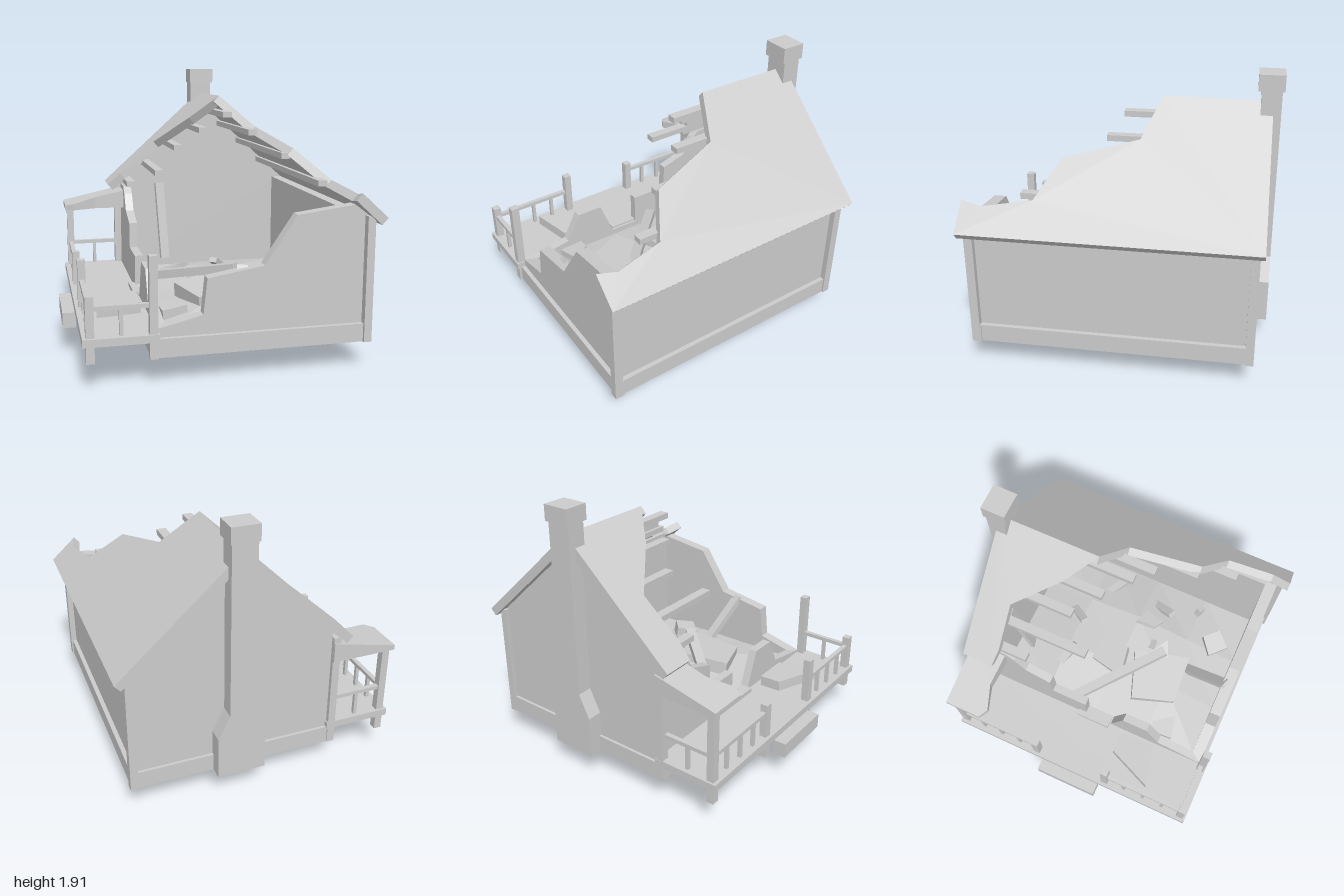
import * as THREE from 'three';

const material = new THREE.MeshStandardMaterial({ color: 0xcccccc, flatShading: true, side: THREE.DoubleSide });

export function createModel() {
  const house = new THREE.Group();
  house.name = 'ruinedHouse';

  const add = (name, geometry) => {
    const mesh = new THREE.Mesh(geometry, material);
    mesh.name = name;
    house.add(mesh);
    return mesh;
  };
  // box given by its limits on each axis
  const box = (name, x0, x1, y0, y1, z0, z1) =>
    add(name, new THREE.BoxGeometry(x1 - x0, y1 - y0, z1 - z0)
      .translate((x0 + x1) / 2, (y0 + y1) / 2, (z0 + z1) / 2));
  const extrude = (points, depth) => new THREE.ExtrudeGeometry(
    new THREE.Shape(points.map(([a, b]) => new THREE.Vector2(a, b))), { depth, bevelEnabled: false });
  // horizontal plate from an outline in x and z
  const plate = (points, y0, h) =>
    extrude(points.map(([x, z]) => [x, -z]), h).rotateX(-Math.PI / 2).translate(0, y0, 0);
  // straight timber between two points
  const beam = (name, from, to, w, h) => {
    const a = new THREE.Vector3(...from), b = new THREE.Vector3(...to);
    const mesh = add(name, new THREE.BoxGeometry(w, h, a.distanceTo(b)));
    mesh.position.copy(a).lerp(b, 0.5);
    mesh.lookAt(b);
  };
  const warp = (geometry, rule) => {
    const p = geometry.attributes.position;
    for (let i = 0; i < p.count; i++) p.setXYZ(i, ...rule(p.getX(i), p.getY(i), p.getZ(i)));
    geometry.computeVertexNormals();
    return geometry;
  };

  // walls, standing behind the sills
  const ridgeX = 0.205, ridgeY = 1.72, pitch = 0.905, base = 0.185, wallBase = 0.29;
  add('backWall', extrude([[-0.46, wallBase], [0.89, wallBase], [0.89, 1.02], [ridgeX, 1.65], [-0.46, 1.04]], 0.08)
    .translate(0, 0, -0.87));
  add('brokenFrontWall', extrude([[-0.46, wallBase], [0.89, wallBase], [0.89, 1.02], [0.81, 1.08], [0.43, 1.03],
    [0.22, 0.72], [-0.145, 0.66], [-0.17, 0.43], [-0.46, 0.36]], 0.08).translate(0, 0, 0.83));
  box('rightWall', 0.81, 0.89, wallBase, 1.02, -0.87, 0.91);
  add('brokenLeftWall', extrude([[-0.87, wallBase], [0.91, wallBase], [0.91, 0.36], [0.56, 0.42], [0.46, 0.62],
    [0.27, 0.62], [0.17, 0.36], [-0.04, 0.36], [-0.04, 0.585], [-0.31, 0.585], [-0.32, 0.77], [-0.51, 0.83],
    [-0.59, 0.95], [-0.65, 1.0], [-0.87, 1.0]], 0.06).rotateY(-Math.PI / 2).translate(-0.4, 0, 0));
  box('threshold', -0.5, -0.415, 0.33, 0.375, -0.1, 0.16);

  // sills and corner posts
  box('frontSill', -0.51, 0.93, base, 0.305, 0.895, 0.94);
  box('backSill', -0.51, 0.93, base, 0.305, -0.89, -0.855);
  box('rightSill', 0.88, 0.92, base, 0.305, -0.88, 0.94);
  box('leftSill', -0.5, -0.45, base, 0.305, -0.88, 0.94);
  for (const [x, z, top] of [[0.905, 0.93, 1.01], [0.905, -0.87, 1.01], [-0.485, -0.87, 1.0], [-0.485, 0.93, 0.83]])
    box('cornerPost', x - 0.026, x + 0.026, base, top, z - 0.028, z + 0.028);

  // broken roof slopes: flat outlines tilted to the pitch
  const roof = (name, side, outline) => add(name, warp(plate(outline, 0, 1), (x, y, z) => {
    const d = 0.06 * (1 - y);
    return [x - side * 0.671 * d, ridgeY - pitch * Math.abs(x - ridgeX) - 0.742 * d, z];
  }));
  roof('rightRoof', 1, [[ridgeX, -0.925], [0.998, -0.925], [0.998, 0.99], [0.82, 0.99], [0.848, 0.86], [0.8, 0.53],
    [0.575, 0.39], [0.45, -0.1], [ridgeX, -0.21]]);
  roof('leftRoof', -1, [[ridgeX, -0.925], [-0.578, -0.925], [-0.578, -0.7], [-0.48, -0.68], [-0.21, -0.69],
    [0.016, -0.39], [ridgeX, -0.21]]);

  // purlins with snapped ends
  for (const [x, y, end] of [[-0.42, 1.04, -0.49], [-0.265, 1.175, -0.1], [-0.09, 1.335, -0.28], [0.065, 1.475, -0.12],
    [0.205, 1.595, 0.04], [0.365, 1.475, 0.13], [0.525, 1.335, 0.39], [0.7, 1.175, 0.63]])
    box('purlin', x - 0.032, x + 0.032, y - 0.02, y + 0.02, -0.82, end);

  // chimney
  add('chimney', extrude([[0.045, base], [0.37, base], [0.37, 0.48], [0.29, 0.64], [0.29, 1.81], [0.125, 1.81],
    [0.125, 0.64], [0.045, 0.48]], 0.13).translate(0, 0, -0.975));
  box('chimneyCap', 0.118, 0.302, 1.803, 1.91, -0.99, -0.822);

  // porch deck, step and posts
  box('porchDeck', -0.917, -0.45, 0.295, 0.345, -0.9, 0.97);
  box('porchStep', -1, -0.91, base, 0.29, -0.2, 0.265);
  for (const [z, top] of [[0.925, 0.6], [0.31, 0.67], [-0.255, 0.59], [-0.86, 0.85]])
    box('porchPost', -0.895, -0.843, base, top, z - 0.026, z + 0.026);

  // porch rails and balusters
  for (const [z0, z1] of [[-0.86, -0.255], [0.31, 0.925]]) {
    box('sideRail', -0.885, -0.853, 0.51, 0.537, z0, z1);
    for (let i = 1; i < 4; i++) {
      const z = z0 + (z1 - z0) * i / 4;
      box('baluster', -0.881, -0.857, 0.34, 0.51, z - 0.012, z + 0.012);
    }
  }
  for (const z of [-0.86, 0.925]) {
    box('endRail', -0.87, -0.485, 0.51, 0.537, z - 0.016, z + 0.016);
    box('baluster', -0.692, -0.668, 0.34, 0.51, z - 0.012, z + 0.012);
  }

  // surviving end of the porch roof
  add('porchRoof', warp(plate([[-0.917, -0.91], [-0.46, -0.91], [-0.46, -0.66], [-0.68, -0.67], [-0.85, -0.61],
    [-0.917, -0.65]], 0, 1), (x, y, z) => [x, y > 0.5 ? 0.865 + (x + 0.917) * 0.22 : 0.83, z]));

  // uneven rubble covering the floor
  add('rubbleFloor', warp(new THREE.PlaneGeometry(1.26, 1.68, 3, 4).rotateX(-Math.PI / 2), (x, y, z) => {
    const inside = (1 - (x / 0.63) ** 2) * (1 - (z / 0.84) ** 2);
    return [x + 0.205, 0.31 + inside * (0.11 + 0.03 * Math.sin(9 * x + 5 * z)), z + 0.02];
  }));

  // fallen slabs
  const slab = (points, y, h, tiltX, tiltZ) => {
    const mid = points.reduce(([a, b], [x, z]) => [a + x / points.length, b + z / points.length], [0, 0]);
    const mesh = add('fallenSlab', plate(points.map(([x, z]) => [x - mid[0], z - mid[1]]), 0, h));
    mesh.position.set(mid[0], y, mid[1]);
    mesh.rotation.set(tiltX, 0, tiltZ);
  };
  slab([[-0.66, 0.28], [-0.505, 0.28], [-0.505, 0.54], [-0.8, 0.61]], 0.35, 0.075, 0, -0.03);
  slab([[-0.22, 0.23], [0.13, 0.1], [0.26, 0.51], [-0.11, 0.54]], 0.36, 0.1, 0.1, 0.08);
  slab([[-0.04, -0.17], [0.17, -0.15], [0.14, 0.06], [-0.1, 0.1]], 0.36, 0.1, -0.12, 0.1);
  slab([[-0.38, 0.46], [-0.3, 0.46], [-0.2, 0.6], [-0.37, 0.64]], 0.3, 0.09, 0, 0.1);
  slab([[0.49, 0.54], [0.59, 0.64], [0.49, 0.75], [0.37, 0.64]], 0.32, 0.09, 0.1, 0.15);
  slab([[0.35, 0.0], [0.47, 0.05], [0.45, 0.2], [0.36, 0.15]], 0.36, 0.09, 0.2, -0.2);
  slab([[0.18, 0.22], [0.32, 0.3], [0.2, 0.36]], 0.4, 0.09, 0.1, 0.2);

  // fallen timbers
  beam('fallenBeam', [-0.38, 0.4, -0.17], [0.19, 0.56, 0.33], 0.07, 0.06);
  beam('leaningBeam', [0.2, 0.34, 0.52], [0.09, 0.7, 0.86], 0.07, 0.045);
  beam('leaningPlank', [-0.13, 0.4, -0.66], [-0.155, 1.0, -0.77], 0.07, 0.03);
  beam('fallenPost', [0.607, 0.01, 0.4], [0.7, 0.4, 0.44], 0.045, 0.06);
  beam('fallenStub', [0.26, 0.16, 0.33], [0.25, 0.42, 0.2], 0.075, 0.05);
  for (const [x, z, dx, dz] of [[0.55, -0.3, 0.12, 0.1], [0.3, -0.5, -0.1, 0.14], [-0.15, -0.4, 0.14, 0.06],
    [0.6, 0.1, -0.06, 0.15]])
    beam('rubbleTimber', [x - dx, 0.26, z - dz], [x + dx, 0.44, z + dz], 0.06, 0.04);
  return house;
}
